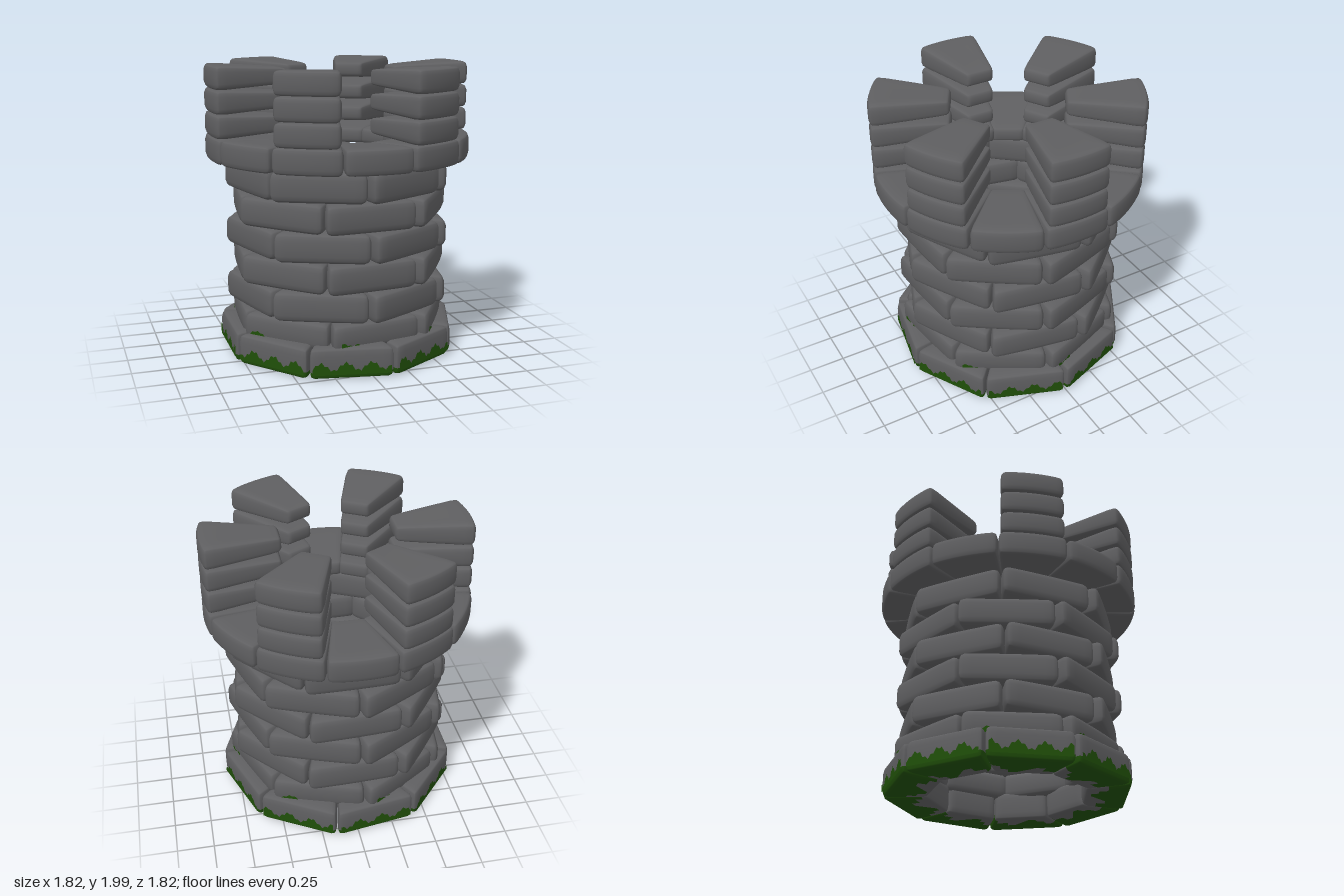
import * as THREE from 'three';
import { mergeVertices } from 'three/addons/utils/BufferGeometryUtils.js';

const stoneMat = new THREE.MeshStandardMaterial({ color: 0x5f5f61 });
stoneMat.name = 'stone grey';
const mossMat = new THREE.MeshStandardMaterial({ color: 0x204f09 });
mossMat.name = 'moss green';

// Rounded block with its outer face at z = rOut, narrower and lower towards rIn.
// fill and innerFill are the shares of the sector taken by the outer and inner ends,
// bulge curves the outer face and skew pushes one end of it outwards.
function stoneGeometry({ count, rIn, rOut, height, inner, radius, fill, innerFill = 1, bulge = 0, skew = 0, mossy }) {
  const box = new THREE.BoxGeometry(2, 2, 2, 12, 6, 8);
  box.deleteAttribute('normal');
  box.deleteAttribute('uv');
  box.clearGroups();
  const geo = mergeVertices(box, 1e-4);
  const pos = geo.attributes.position;
  const slope = Math.tan(Math.PI / count);
  const half = new THREE.Vector3(rOut * slope * fill, height / 2, (rOut - rIn) / 2);
  const limit = half.clone().subScalar(radius);
  const p = new THREE.Vector3(), core = new THREE.Vector3();
  const ease = (u) => Math.sin(u * Math.PI / 2);

  for (let i = 0; i < pos.count; i++) {
    // Crowd the grid towards the edges, then round them
    p.set(ease(pos.getX(i)), ease(pos.getY(i)), ease(pos.getZ(i))).multiply(half);
    core.copy(p).clamp(limit.clone().negate(), limit);
    p.sub(core).setLength(radius).add(core);
    // Wedge the block and shape its outer face
    const t = p.z / (2 * half.z) + 0.5;
    const side = p.x / half.x;
    p.x *= THREE.MathUtils.lerp(innerFill * rIn / (rOut * fill), 1, t);
    p.y *= THREE.MathUtils.lerp(inner, 1, t);
    p.z += (rIn + rOut) / 2 - t * (bulge * side * side + skew * side);
    pos.setXYZ(i, p.x, p.y, p.z);
  }

  // Sort faces into bare stone and mossy underside
  const bare = [], green = [];
  const index = Array.from(geo.index.array);
  for (let i = 0; i < index.length; i += 3) {
    const tri = index.slice(i, i + 3);
    const mean = (get) => tri.reduce((sum, v) => sum + get(v), 0) / 3;
    const x = mean((v) => pos.getX(v)), y = mean((v) => pos.getY(v)), z = mean((v) => pos.getZ(v));
    const edge = rIn + 0.1 + 0.05 * Math.sin(x * 22);
    (mossy && y < -height / 2 + 0.045 && z > edge ? green : bare).push(...tri);
  }
  geo.setIndex([...bare, ...green]);
  geo.addGroup(0, bare.length, 0);
  if (green.length) geo.addGroup(bare.length, green.length, 1);
  geo.computeVertexNormals();
  return geo;
}

// Ring of stones; phase is the angle in degrees of one joint, from +z towards +x
function ring(name, { phase, y0, y1, every = 1, ...stone }) {
  const group = new THREE.Group();
  group.name = name;
  const geo = stoneGeometry({ ...stone, height: y1 - y0 });
  for (let i = 0; i < stone.count; i += every) {
    const mesh = new THREE.Mesh(geo, [stoneMat, mossMat]);
    mesh.name = name + 'Stone';
    mesh.position.y = (y0 + y1) / 2;
    mesh.rotation.y = THREE.MathUtils.degToRad(phase + (i + 0.5) * 360 / stone.count);
    group.add(mesh);
  }
  return group;
}

// Thin ragged patch of moss lying on the outer face of a stone
function mossPatch(x0, x1, y0, low, high, z, degrees, seed) {
  const shape = new THREE.Shape();
  shape.moveTo(x0, y0);
  const n = Math.max(5, Math.round((x1 - x0) / 0.02));
  for (let i = 0; i <= n; i++) {
    const wave = 0.5 + 0.5 * Math.sin(i * 0.75 + seed * 2.3);
    const jag = i % 2 ? 0.25 : 0;
    shape.lineTo(x0 + (x1 - x0) * i / n, low + (high - low) * (0.75 * wave + jag));
  }
  shape.lineTo(x1, y0);
  const mesh = new THREE.Mesh(new THREE.ShapeGeometry(shape), mossMat);
  mesh.name = 'mossPatch';
  mesh.geometry.translate(0, 0, z + 0.003);
  mesh.rotation.y = THREE.MathUtils.degToRad(degrees);
  return mesh;
}

export function createModel() {
  const tower = new THREE.Group();
  tower.name = 'stoneTower';

  // Wide mossy footing
  tower.add(ring('footing', {
    count: 9, phase: 9.3, y0: 0.005, y1: 0.215, rIn: 0.5, rOut: 0.797,
    inner: 0.95, radius: 0.042, fill: 0.985, mossy: true,
  }));

  // Wall courses with staggered joints: bottom, top, joint angle
  const courses = [
    [0.17, 0.355, 30], [0.348, 0.552, -1], [0.547, 0.75, 28],
    [0.746, 0.948, 0], [0.943, 1.145, 27], [1.14, 1.347, -2],
  ];
  courses.forEach(([y0, y1, phase], i) => {
    tower.add(ring('wallCourse' + (i + 1), {
      count: 7, phase, y0, y1, rIn: 0.47, rOut: 0.717, inner: 0.98,
      radius: 0.055, fill: 0.95, innerFill: 1.1, bulge: 0.008, skew: 0.018,
    }));
  });

  // Overhanging rim, then six battlements of three stones each
  const rim = { count: 12, rIn: 0.375, rOut: 0.908, radius: 0.045, bulge: 0.025 };
  tower.add(ring('rim', { ...rim, phase: -15, y0: 1.348, y1: 1.527, inner: 0.6, fill: 0.97, innerFill: 1.08 }));
  for (let i = 0; i < 3; i++) {
    const y0 = 1.515 + i * 0.1595;
    tower.add(ring('battlementCourse' + (i + 1), {
      ...rim, phase: 15, y0, y1: y0 + 0.166, inner: 0.62, fill: 0.92, every: 2,
    }));
  }

  // Moss creeping up the footing and sprouting above it
  const moss = new THREE.Group();
  moss.name = 'moss';
  for (let i = 0; i < 9; i++) {
    moss.add(mossPatch(-0.26, 0.26, 0.04, 0.06, 0.13, 0.797, 9.3 + (i + 0.5) * 40, i));
  }
  for (let i = 0; i < 7; i++) {
    moss.add(mossPatch(-0.26, -0.14, 0.2, 0.21, 0.245, 0.725, 30 + (i + 0.5) * 360 / 7, i + 3));
  }
  tower.add(moss);
  return tower;
}
